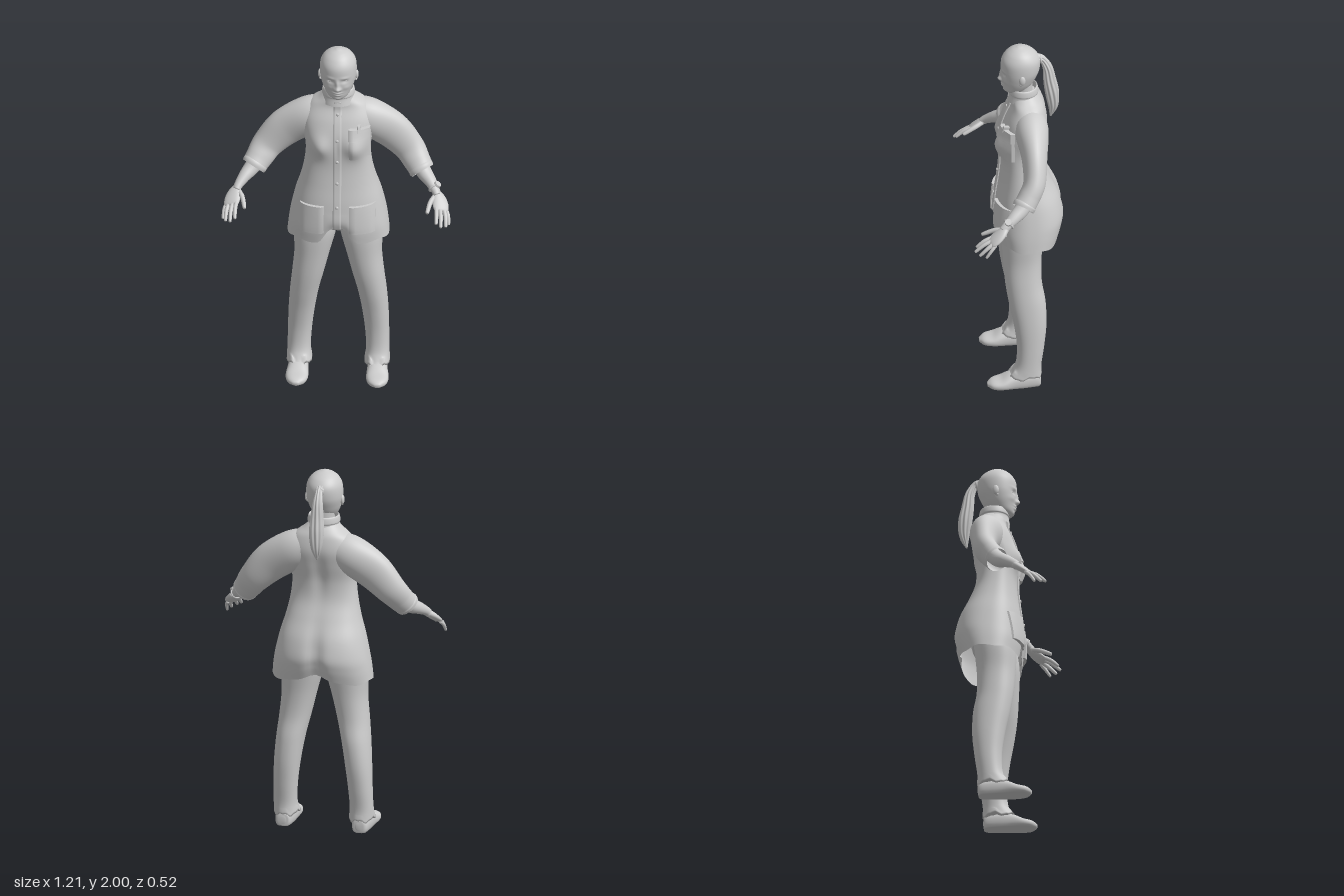
import * as THREE from 'three';

const V = (x, y, z) => new THREE.Vector3(x, y, z);
const cloth = new THREE.MeshStandardMaterial({ color: 0xcccccc, side: THREE.DoubleSide });
cloth.name = 'plain light grey';

// Horizontal section: height, half width, front z, back z, centre x
const sec = ([y, w, zf, zb], cx = 0) => [cx, y, (zf + zb) / 2, w, (zf - zb) / 2];

// Smooth skin through sections [x, y, z, radius along ref, radius across]
function loft(secs, { rows = 24, cols = 24, ref = V(1, 0, 0), flat = false, k = 1, start = true, end = true, ridge = 0, rule } = {}) {
  const path = new THREE.CatmullRomCurve3(secs.map(s => V(s[0], s[1], s[2])), false, 'catmullrom');
  const size = new THREE.CatmullRomCurve3(secs.map(s => V(s[3], s[4], 0)), false, 'catmullrom');
  const pos = [], idx = [];
  const pw = v => Math.sign(v) * Math.abs(v) ** k;
  for (let i = 0; i <= rows; i++) {
    const t = i / rows, c = path.getPoint(t), r = size.getPoint(t);
    const dir = flat ? V(0, 1, 0) : path.getTangent(t);
    const u = ref.clone().addScaledVector(dir, -ref.dot(dir)).normalize();
    const v = dir.clone().cross(u);
    for (let j = 0; j < cols; j++) {
      const a = j / cols * Math.PI * 2, m = 1 + ridge * Math.cos(a * 9 + t * 5);
      const p = c.clone().addScaledVector(u, pw(Math.cos(a)) * Math.max(r.x, 0.001) * m)
        .addScaledVector(v, pw(Math.sin(a)) * Math.max(r.y, 0.001) * m);
      if (rule) rule(p, a);
      pos.push(p.x, p.y, p.z);
    }
  }
  for (let i = 0; i < rows; i++) for (let j = 0; j < cols; j++) {
    const a = i * cols + j, b = i * cols + (j + 1) % cols;
    idx.push(a, b, a + cols, b, b + cols, a + cols);
  }
  const cap = (row, flip) => {
    const c = pos.length / 3, m = [0, 0, 0];
    for (let j = 0; j < cols; j++) {
      const a = row * cols + j, b = row * cols + (j + 1) % cols;
      for (let n = 0; n < 3; n++) m[n] += pos[a * 3 + n] / cols;
      idx.push(c, flip ? b : a, flip ? a : b);
    }
    pos.push(...m);
  };
  if (start) cap(0, true);
  if (end) cap(rows, false);
  const g = new THREE.BufferGeometry();
  g.setAttribute('position', new THREE.Float32BufferAttribute(pos, 3));
  g.setIndex(idx);
  g.computeVertexNormals();
  return g;
}

const bump = (x, y, [cx, cy, sx, sy, amp]) =>
  amp * Math.exp(-(((Math.abs(x) - cx) / sx) ** 2) - ((y - cy) / sy) ** 2);

export function createModel() {
  const model = new THREE.Group();
  const add = (name, geo, x = 0, y = 0, z = 0) => {
    const m = new THREE.Mesh(geo, cloth);
    m.name = name;
    m.position.set(x, y, z);
    model.add(m);
    return m;
  };
  const ball = (name, x, y, z, sx, sy, sz) => add(name, new THREE.SphereGeometry(1, 20, 14), x, y, z).scale.set(sx, sy, sz);

  // Head with sculpted face
  const face = [
    [0, 1.806, 0.013, 0.015, 0.02], [0, 1.835, 0.009, 0.024, 0.01], [0.013, 1.803, 0.008, 0.009, 0.007],
    [0, 1.779, 0.022, 0.006, 0.009], [0, 1.765, 0.02, 0.007, 0.009], [0.038, 1.85, 0.018, 0.011, -0.008],
    [0.038, 1.871, 0.022, 0.007, 0.004], [0, 1.737, 0.02, 0.012, 0.006], [0.05, 1.81, 0.02, 0.015, 0.004]];
  add('head', loft([
    [1.725, 0.03, 0.035, -0.03], [1.745, 0.056, 0.05, -0.07], [1.775, 0.074, 0.055, -0.1], [1.81, 0.087, 0.06, -0.12],
    [1.86, 0.097, 0.064, -0.14], [1.92, 0.095, 0.062, -0.143], [1.96, 0.077, 0.04, -0.12],
    [1.985, 0.048, 0.01, -0.085], [2, 0.01, -0.025, -0.045]].map(s => sec(s)), {
    rows: 90, cols: 96, flat: true,
    rule: p => { if (p.z > -0.01) for (const f of face) p.z += bump(p.x, p.y, f) * Math.min(1, (p.z + 0.01) / 0.03); }
  }));
  add('neck', loft([[1.66, 0.07, 0, -0.12], [1.72, 0.058, -0.005, -0.105], [1.8, 0.06, -0.005, -0.105]].map(s => sec(s)), { flat: true, rows: 8 }));
  for (const s of [-1, 1]) {
    ball('ear', s * 0.097, 1.842, -0.04, 0.011, 0.027, 0.017);
    ball('earLobe', s * 0.094, 1.818, -0.033, 0.007, 0.01, 0.008);
    ball('eye', s * 0.038, 1.849, 0.04, 0.016, 0.006, 0.008);
  }

  // Ponytail and its tie
  add('ponytail', loft([[0, 1.918, -0.12, 0.03, 0.03], [0, 1.913, -0.155, 0.018, 0.02], [0, 1.86, -0.183, 0.026, 0.025],
    [0, 1.78, -0.195, 0.034, 0.032], [0, 1.7, -0.208, 0.037, 0.035], [0, 1.62, -0.213, 0.027, 0.026], [0, 1.55, -0.2, 0.004, 0.004]],
  { rows: 40, cols: 72, ridge: 0.09 }));
  add('hairTie', new THREE.TorusGeometry(0.02, 0.006, 8, 20), 0, 1.914, -0.147);

  // Jacket body: bust, seat crease and uneven notched hem
  const jacket = add('jacketBody', loft([
    [0.86, 0.27, 0.09, -0.235], [0.93, 0.262, 0.1, -0.255], [1, 0.25, 0.1, -0.264], [1.1, 0.228, 0.092, -0.242],
    [1.2, 0.2, 0.078, -0.195], [1.3, 0.18, 0.068, -0.155], [1.4, 0.172, 0.068, -0.15], [1.5, 0.185, 0.066, -0.168],
    [1.58, 0.188, 0.045, -0.178], [1.65, 0.155, 0.015, -0.165], [1.69, 0.105, 0.01, -0.145], [1.72, 0.075, 0, -0.12]].map(s => sec(s)), {
    rows: 66, cols: 96, flat: true, k: 0.83, start: false,
    rule: (p, a) => {
      if (p.z > 0) p.z += bump(p.x, p.y, [0.095, 1.44, 0.055, 0.06, 0.03]);
      else p.z += bump(p.x, p.y, [0, 1, 0.04, 0.16, 0.022]) + bump(p.x, p.y, [0, 1.45, 0.035, 0.13, 0.012]);
      const low = Math.max(0, (1.05 - p.y) / 0.19);
      const notch = p.z > 0 ? 0.085 * Math.exp(-((p.x / 0.075) ** 4)) : p.z < -0.15 ? 0.055 * Math.exp(-((p.x / 0.08) ** 2)) : 0;
      p.y += low * (notch + 0.006 * Math.sin(a * 7));
    }
  }));
  add('collar', loft([[1.675, 0.09, 0.03, -0.14], [1.715, 0.083, 0.022, -0.132], [1.726, 0.088, 0.027, -0.136],
    [1.755, 0.083, 0.022, -0.13], [1.752, 0.074, 0.014, -0.122], [1.69, 0.07, 0.01, -0.118]].map(s => sec(s)),
  { flat: true, rows: 30, cols: 48, start: false, end: false }));

  // Thin pieces laid over the jacket front
  const ray = new THREE.Raycaster();
  jacket.updateMatrixWorld(true);
  const frontZ = (x, y) => {
    ray.set(V(x, y, 1), V(0, 0, -1));
    const hit = ray.intersectObject(jacket)[0];
    return Math.max(hit ? hit.point.z : 0, 0.015);
  };
  function patch(name, x0, x1, y0, y1, thick, { skew = 0, rows = 12 } = {}) {
    const g = new THREE.BoxGeometry(x1 - x0, y1 - y0, 1, 8, rows, 1);
    g.translate((x0 + x1) / 2, (y0 + y1) / 2, 0);
    const p = g.attributes.position;
    for (let i = 0; i < p.count; i++) {
      const x = p.getX(i), y = p.getY(i) + skew * (x - x0);
      const e = Math.min(1, 4 * Math.min(x - x0, x1 - x) / (x1 - x0) + 0.6);
      p.setXYZ(i, x, y, frontZ(x, y) + (p.getZ(i) > 0 ? thick * e : -0.008));
    }
    g.computeVertexNormals();
    add(name, g);
  }
  patch('placket', -0.022, 0.022, 0.955, 1.7, 0.01, { rows: 60 });
  patch('rightHipPocket', -0.2, -0.07, 0.925, 1.085, 0.018, { skew: 0.04 });
  patch('leftHipPocket', 0.065, 0.2, 0.93, 1.092, 0.018);
  patch('chestPocket', 0.062, 0.17, 1.38, 1.52, 0.017);
  patch('chestPocketFlap', 0.058, 0.172, 1.495, 1.555, 0.025);
  patch('chestPocketTab', 0.105, 0.123, 1.54, 1.572, 0.028);
  for (const y of [1.63, 1.49, 1.36, 1.23, 1.09])
    ball('button', 0, y, frontZ(0, y) + 0.011, 0.009, 0.009, 0.005);

  // Seat of the trousers, under the jacket
  add('trouserSeat', loft([[0.905, 0.1, 0.03, -0.12], [0.95, 0.215, 0.065, -0.17], [1.05, 0.205, 0.06, -0.18]].map(s => sec(s)), { flat: true, rows: 12, cols: 36 }));

  for (const s of [-1, 1]) {
    const X = list => list.map(([x, ...r]) => [x * s, ...r]);

    // Trouser leg with frayed hem, and shoe
    add('trouserLeg', loft([
      [0.065, 0.138, 0.273, 0.05, -0.132], [0.13, 0.146, 0.27, 0.008, -0.13], [0.24, 0.14, 0.268, 0, -0.145], [0.37, 0.124, 0.264, 0.015, -0.158],
      [0.5, 0.102, 0.255, 0.04, -0.155], [0.62, 0.074, 0.243, 0.058, -0.137], [0.75, 0.043, 0.232, 0.067, -0.137],
      [0.88, 0.01, 0.236, 0.072, -0.15], [0.98, 0.002, 0.225, 0.06, -0.16]].map(([y, a, b, f, k]) => sec([y, (b - a) / 2, f, k], s * (a + b) / 2)), {
      flat: true, rows: 48, cols: 40, k: 0.92,
      rule: (p, a) => { if (p.y < 0.1) p.y += 0.008 * Math.sin(a * 5) + 0.004 * Math.sin(a * 11); }
    }));
    add('shoe', loft(X([[0.21, 0.035, -0.127, 0.015, 0.015], [0.21, 0.035, -0.115, 0.04, 0.045], [0.209, 0.035, -0.05, 0.05, 0.055],
      [0.21, 0.032, 0.02, 0.055, 0.05], [0.213, 0.022, 0.08, 0.06, 0.032], [0.215, 0.018, 0.13, 0.047, 0.024], [0.216, 0.015, 0.158, 0.015, 0.01]]),
    { rows: 32, cols: 32, k: 0.85, rule: p => { p.y = Math.max(0, p.y); } }));

    // Sleeve, its edge folded inward at the cuff
    const across = V(0, 0, 1);
    add('sleeve', loft(X([[0.04, 1.585, -0.08, 0.07, 0.075], [0.1, 1.575, -0.083, 0.085, 0.097], [0.17, 1.545, -0.085, 0.088, 0.107],
      [0.28, 1.472, -0.086, 0.068, 0.104], [0.37, 1.376, -0.077, 0.06, 0.085], [0.415, 1.313, -0.042, 0.059, 0.074],
      [0.446, 1.27, -0.01, 0.06, 0.066], [0.44, 1.278, -0.016, 0.05, 0.055]].slice(0, 7)),
    { rows: 42, cols: 40, ref: across, end: false }));
    add('cuffHem', loft(X([[0.434, 1.287, -0.022, 0.06, 0.068], [0.44, 1.279, -0.016, 0.063, 0.07], [0.448, 1.268, -0.009, 0.06, 0.066]]),
      { rows: 8, cols: 40, ref: across, start: false, end: false }));

    // Forearm, palm and fingers
    add('forearm', loft(X([[0.41, 1.325, -0.045, 0.042, 0.045], [0.455, 1.268, 0, 0.041, 0.042], [0.49, 1.24, 0.042, 0.034, 0.033],
      [0.52, 1.21, 0.085, 0.025, 0.024], [0.532, 1.19, 0.105, 0.025, 0.02]]), { rows: 20, cols: 24, ref: across }));
    const wide = V(s, -0.35, 0);
    add('palm', loft(X([[0.527, 1.2, 0.092, 0.022, 0.018], [0.54, 1.178, 0.117, 0.037, 0.019], [0.551, 1.155, 0.145, 0.043, 0.017],
      [0.557, 1.138, 0.168, 0.039, 0.012], [0.558, 1.133, 0.175, 0.028, 0.006]]), { rows: 18, cols: 24, ref: wide }));
    const fingers = [
      ['indexFinger', [0.528, 1.152, 0.158], [0.533, 1.133, 0.205], [0.533, 1.1, 0.245]],
      ['middleFinger', [0.548, 1.145, 0.16], [0.556, 1.122, 0.21], [0.558, 1.086, 0.254]],
      ['ringFinger', [0.568, 1.14, 0.155], [0.58, 1.112, 0.195], [0.583, 1.076, 0.232]],
      ['littleFinger', [0.582, 1.133, 0.15], [0.594, 1.106, 0.175], [0.598, 1.07, 0.2]],
      ['thumb', [0.518, 1.187, 0.112], [0.497, 1.172, 0.155], [0.484, 1.145, 0.21]]];
    for (const [name, a, b, c] of fingers) {
      const r = name === 'thumb' ? 0.013 : name === 'littleFinger' ? 0.0095 : 0.011;
      const tip = c.map((v, i) => v + (c[i] - b[i]) * 0.1);
      add(name, loft(X([[...a, r, r], [...b, r, r], [...c, r * 0.75, r * 0.75], [...tip, 0.002, 0.002]]), { rows: 14, cols: 12, ref: wide }));
    }
  }

  // Wristwatch on the left arm
  const dir = V(0.03, -0.03, 0.043).normalize();
  const strap = add('watchStrap', new THREE.TorusGeometry(0.028, 0.006, 8, 28), 0.513, 1.217, 0.075);
  strap.quaternion.setFromUnitVectors(V(0, 0, 1), dir);
  const out = V(0.6, 0.75, 0.1).projectOnPlane(dir).normalize();
  const dial = add('watchDial', new THREE.CylinderGeometry(0.018, 0.02, 0.012, 24));
  dial.position.copy(strap.position).addScaledVector(out, 0.032);
  dial.quaternion.setFromUnitVectors(V(0, 1, 0), out);

  return model;
}
